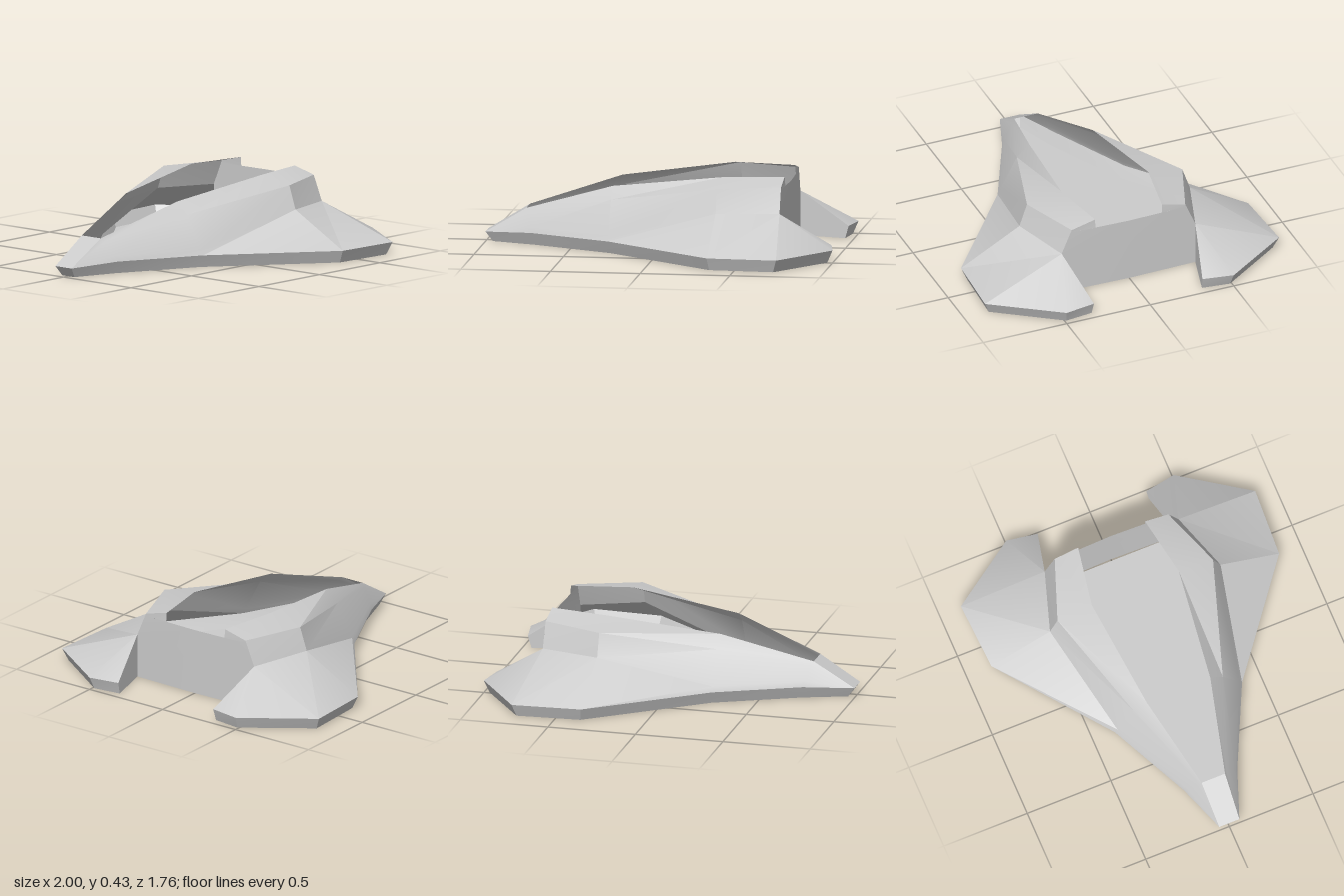
import * as THREE from 'three';
import { toCreasedNormals } from 'three/addons/utils/BufferGeometryUtils.js';

const material = new THREE.MeshStandardMaterial({ color: 0xcccccc, side: THREE.DoubleSide });

// Rails of one hull side, [x, y, z], from nose to stern
const nose = [-1, 0.055, 0.06];
const stern = [0.69, 0.25, 0.4];
const sternFold = [0.69, 0.39, 0.34];
const edge = [nose, [-0.73, 0.07, 0.16], [-0.27, 0.07, 0.38], [0.35, 0.07, 0.86],
  [0.74, 0.07, 0.88], [1, 0.07, 0.5], [0.97, 0.07, 0.325], stern];
const keel = [[-0.96, 0, 0.045], [-0.72, 0, 0.13], [-0.26, 0, 0.35], [0.36, 0, 0.83],
  [0.72, 0, 0.85], [0.97, 0, 0.49], [0.95, 0, 0.33], [0.69, 0, 0.4]];
const crease = [nose, [-0.74, 0.1, 0.145], [-0.27, 0.1, 0.365], [0.35, 0.26, 0.51],
  stern, stern, stern];
const fold = [nose, [-0.76, 0.175, 0.085], [-0.27, 0.285, 0.265], [0.35, 0.39, 0.465], sternFold];
const rim = [nose, [-0.77, 0.195, 0.07], [-0.27, 0.35, 0.19], [0.35, 0.425, 0.26], [0.69, 0.425, 0.2]];

const flip = ([x, y, z]) => [x, y, -z];

function addMesh(parent, name, geometry) {
  const mesh = new THREE.Mesh(geometry, material);
  mesh.name = name;
  parent.add(mesh);
}

// Geometry from quads with corners counter-clockwise seen from outside
function fromQuads(quads) {
  const positions = [];
  for (const [a, b, c, d] of quads) {
    for (const tri of [[a, b, c], [a, c, d]]) {
      if (new Set(tri.map(String)).size === 3) positions.push(...tri.flat());
    }
  }
  const geometry = new THREE.BufferGeometry();
  geometry.setAttribute('position', new THREE.Float32BufferAttribute(positions, 3));
  return toCreasedNormals(geometry, 0.4);
}

// Quads between a lower and an upper rail
function strip(low, high) {
  const quads = [];
  for (let i = 0; i < Math.min(low.length, high.length) - 1; i++) {
    quads.push([low[i], low[i + 1], high[i + 1], high[i]]);
  }
  return quads;
}

const mirrored = (quads) => quads.map((q) => q.map(flip).reverse());

export function createModel() {
  const model = new THREE.Group();
  model.name = 'hoverCraft';

  // Hull sides: skirt, wing, flank and shoulder on each side
  const side = [
    ...strip(keel, edge),
    ...strip(edge, crease),
    ...strip(crease, fold),
    ...strip(fold, rim),
  ];
  addMesh(model, 'frontHullSide', fromQuads(side));
  addMesh(model, 'backHullSide', fromQuads(mirrored(side)));

  // Nose deck and blunt tip
  addMesh(model, 'noseDeck', fromQuads([[nose, rim[1], flip(rim[1]), flip(nose)]]));
  addMesh(model, 'noseTip', fromQuads([[flip(keel[0]), keel[0], nose, flip(nose)]]));

  // Flat floor, also the bottom of the open cockpit
  const outline = [...keel, ...keel.map(flip).reverse()];
  const shape = new THREE.Shape(outline.map(([x, , z]) => new THREE.Vector2(x, z)));
  addMesh(model, 'floor', new THREE.ShapeGeometry(shape).rotateX(Math.PI / 2));

  // Slightly bowed stern wall with a raised ear at each end
  const levels = [[0, 0.4], [0.25, 0.4], [0.375, 0.347]];
  const wall = [];
  for (let i = 0; i < 2; i++) {
    const [[y0, z0], [y1, z1]] = [levels[i], levels[i + 1]];
    const half = [[0.69, y0, z0], [0.7, y0, 0], [0.7, y1, 0], [0.69, y1, z1]];
    wall.push(half, ...mirrored([half]));
  }
  const ear = [[0.69, 0.375, 0.347], [0.694, 0.375, 0.2], rim[4], sternFold];
  wall.push(ear, ...mirrored([ear]));
  addMesh(model, 'sternWall', fromQuads(wall));

  return model;
}
